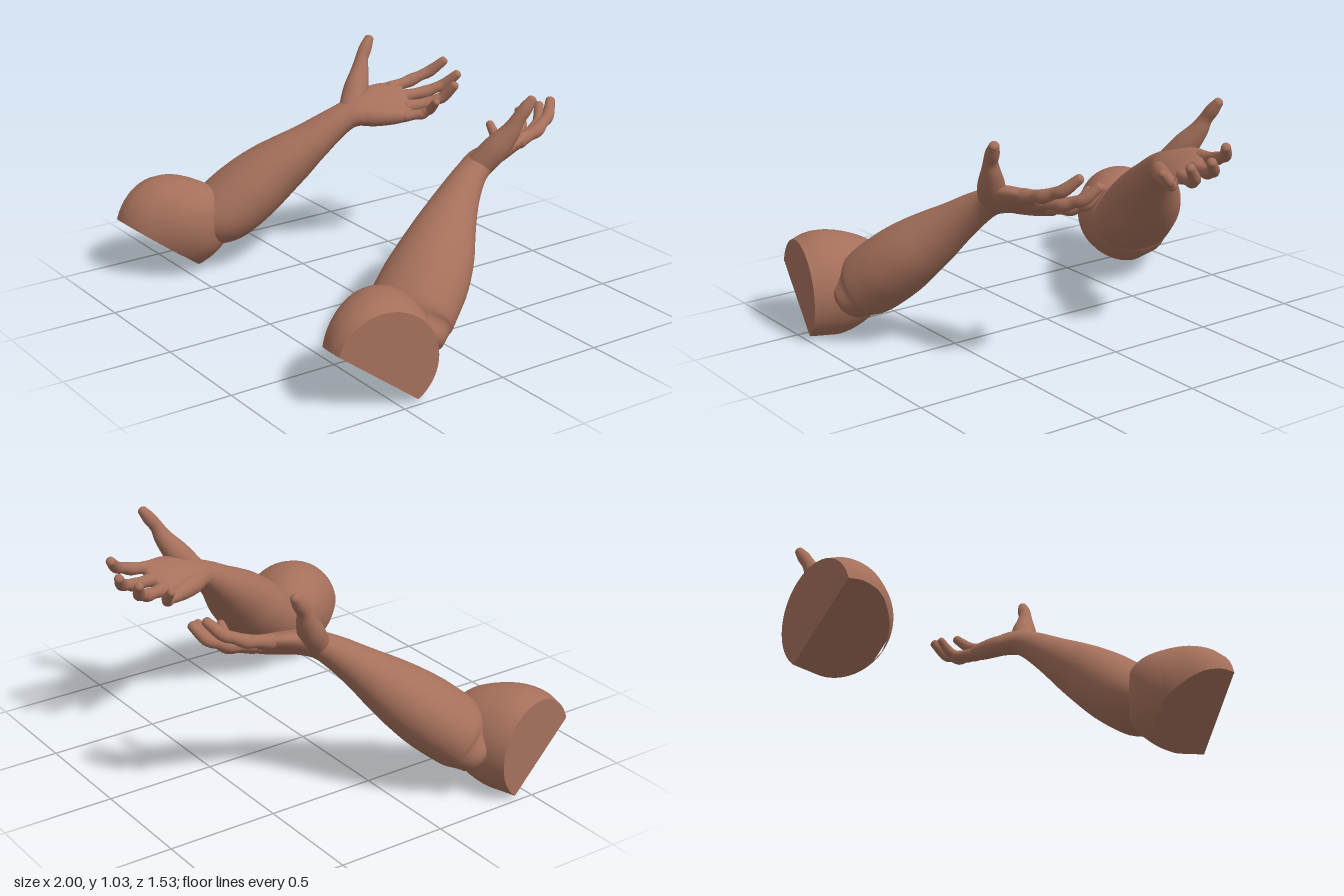
import * as THREE from 'three';

const V3 = (x, y, z) => new THREE.Vector3(x, y, z);
const skin = new THREE.MeshStandardMaterial({ color: 0xa5705b });
skin.name = 'skin brown';

// Skin a grid of points; side = -1 mirrors it across x
function surface(name, rows, closed, side) {
  const n = rows[0].length, pos = [], idx = [];
  for (const row of rows) for (const p of row) pos.push(p.x * side, p.y, p.z);
  const tri = (a, b, c) => (side > 0 ? idx.push(a, b, c) : idx.push(a, c, b));
  for (let i = 0; i < rows.length - 1; i++) {
    for (let j = 0; j < (closed ? n : n - 1); j++) {
      const k = (j + 1) % n;
      const a = i * n + j, b = a + n, c = i * n + k, d = c + n;
      tri(a, b, c);
      tri(b, d, c);
    }
  }
  const geo = new THREE.BufferGeometry();
  geo.setAttribute('position', new THREE.Float32BufferAttribute(pos, 3));
  geo.setIndex(idx);
  geo.computeVertexNormals();
  const mesh = new THREE.Mesh(geo, skin);
  mesh.name = name;
  return mesh;
}

// Smooth limb through stations [x, y, z, halfWidth, halfHeight, roll] with domed ends
function limb(name, stations, side, segs = 24, steps = 6, dome = 0.8) {
  const path = new THREE.CatmullRomCurve3(stations.map(s => V3(s[0], s[1], s[2])), false, 'catmullrom', 0.5);
  const size = new THREE.CatmullRomCurve3(stations.map(s => V3(s[3], s[4] ?? s[3], s[5] ?? 0)), false, 'catmullrom', 0.5);
  const rows = [];
  const ring = (t, shift, k) => {
    const c = path.getPoint(t), T = path.getTangent(t), s = size.getPoint(t);
    const U0 = V3().crossVectors(T, V3(0, 1, 0)).normalize();
    const W0 = V3().crossVectors(U0, T);
    const U = U0.clone().multiplyScalar(Math.cos(s.z)).addScaledVector(W0, Math.sin(s.z));
    const W = V3().crossVectors(U, T);
    c.addScaledVector(T, shift * s.y * dome);
    const row = [];
    for (let j = 0; j < segs; j++) {
      const a = (j / segs) * Math.PI * 2;
      row.push(c.clone().addScaledVector(U, Math.cos(a) * s.x * k).addScaledVector(W, Math.sin(a) * s.y * k));
    }
    rows.push(row);
  };
  const caps = 6, total = (stations.length - 1) * steps;
  for (let i = caps; i > 0; i--) {
    const a = (i / caps) * Math.PI / 2;
    ring(0, -Math.sin(a), Math.max(Math.cos(a), 0.002));
  }
  for (let i = 0; i <= total; i++) ring(i / total, 0, 1);
  for (let i = 1; i <= caps; i++) {
    const a = (i / caps) * Math.PI / 2;
    ring(1, Math.sin(a), Math.max(Math.cos(a), 0.002));
  }
  return surface(name, rows, true, side);
}

// Rounded upper arm, sliced flat on its outer end and along its lower front
function upperArm(side) {
  const group = new THREE.Group();
  group.name = 'upperArm';
  const stations = [
    [0.957, 0.2, 0.55, 0.222], [0.89, 0.212, 0.535, 0.235], [0.81, 0.217, 0.505, 0.234],
    [0.73, 0.23, 0.46, 0.205], [0.66, 0.245, 0.425, 0.155], [0.618, 0.25, 0.41, 0.09], [0.6, 0.25, 0.405, 0.002],
  ];
  const path = new THREE.CatmullRomCurve3(stations.map(s => V3(s[0], s[1], s[2])), false, 'catmullrom', 0.5);
  const radius = new THREE.CatmullRomCurve3(stations.map(s => V3(s[3], 0, 0)), false, 'catmullrom', 0.5);
  const A = V3(0.98, 0, 0.2).normalize();
  const cutNormal = V3(0, -0.805, 0.593), cutPoint = V3(0, 0.28, 0.77);
  const N = cutNormal.clone().addScaledVector(A, -cutNormal.dot(A)).normalize();
  const M = V3().crossVectors(A, N);
  const rows = [], cut = [], segs = 48, steps = 48;
  for (let i = 0; i <= steps; i++) {
    const c = path.getPoint(i / steps), r = Math.max(radius.getPoint(i / steps).x, 0.001);
    const d = cutPoint.clone().sub(c).dot(cutNormal) / cutNormal.dot(N);
    const start = d < r ? Math.acos(d / r) : 0;
    const row = [];
    for (let j = 0; j <= segs; j++) {
      const a = start + (j / segs) * (Math.PI * 2 - 2 * start);
      row.push(c.clone().addScaledVector(N, Math.cos(a) * r).addScaledVector(M, Math.sin(a) * r));
    }
    rows.push(row);
    if (start > 0) cut.push([row[segs], row[0]]);
  }
  const middle = rows[0].map(() => path.getPoint(0));
  group.add(
    surface('upperArmSkin', rows, false, side),
    surface('lowerCutFace', cut, false, side),
    surface('outerCutFace', [middle, rows[0]], true, side),
  );
  return group;
}

function arm(side) {
  const group = new THREE.Group();
  group.name = side > 0 ? 'leftArm' : 'rightArm';
  group.add(upperArm(side));

  // Forearm, wrist and palm in one continuous form
  group.add(limb('forearmAndPalm', [
    [0.785, 0.21, 0.345, 0.17, 0.115, 0], [0.74, 0.265, 0.29, 0.193, 0.15, 0],
    [0.69, 0.36, 0.18, 0.19, 0.155, 0], [0.645, 0.44, 0.09, 0.17, 0.143, 0],
    [0.59, 0.52, 0, 0.138, 0.12, 0], [0.545, 0.59, -0.08, 0.11, 0.095, 0.05],
    [0.505, 0.66, -0.165, 0.085, 0.075, 0.15], [0.475, 0.71, -0.24, 0.077, 0.06, 0.3],
    [0.45, 0.735, -0.31, 0.1, 0.055, 0.45], [0.43, 0.75, -0.4, 0.118, 0.046, 0.5],
    [0.41, 0.755, -0.47, 0.115, 0.038, 0.52], [0.398, 0.757, -0.515, 0.1, 0.028, 0.52],
  ], side, 40, 6, 0.6));

  // Fleshy heel of the hand below the little finger
  group.add(limb('palmHeel', [
    [0.43, 0.71, -0.26, 0.04], [0.385, 0.712, -0.33, 0.048], [0.345, 0.71, -0.41, 0.042], [0.318, 0.708, -0.47, 0.03],
  ], side));

  group.add(limb('thumb', [
    [0.485, 0.735, -0.27, 0.058], [0.525, 0.81, -0.325, 0.058], [0.558, 0.88, -0.37, 0.043],
    [0.576, 0.935, -0.395, 0.031], [0.588, 0.98, -0.425, 0.03], [0.598, 1.018, -0.452, 0.022],
  ], side));

  // Each finger: knuckle, two joints and tip
  const fingers = {
    indexFinger: [[0.478, 0.796, -0.49], [0.465, 0.82, -0.6], [0.43, 0.86, -0.69], [0.388, 0.912, -0.738]],
    middleFinger: [[0.42, 0.765, -0.51], [0.385, 0.778, -0.63], [0.345, 0.812, -0.712], [0.298, 0.865, -0.75]],
    ringFinger: [[0.36, 0.733, -0.5], [0.325, 0.742, -0.6], [0.285, 0.775, -0.662], [0.236, 0.836, -0.688]],
    littleFinger: [[0.315, 0.707, -0.46], [0.272, 0.716, -0.528], [0.24, 0.743, -0.55], [0.197, 0.788, -0.552]],
  };
  for (const [name, joints] of Object.entries(fingers)) {
    const k = name === 'littleFinger' ? 0.85 : 1;
    const [a, b, c, d] = joints.map(p => V3(...p));
    const points = [a, a.clone().lerp(b, 0.55), b, b.clone().lerp(c, 0.5), c, d];
    const radii = [0.034, 0.027, 0.03, 0.025, 0.027, 0.021];
    group.add(limb(name, points.map((p, i) => [p.x, p.y, p.z, radii[i] * k]), side, 20, 5));
  }
  return group;
}

export function createModel() {
  const model = new THREE.Group();
  model.name = 'pairOfArms';
  model.add(arm(1), arm(-1));
  return model;
}
